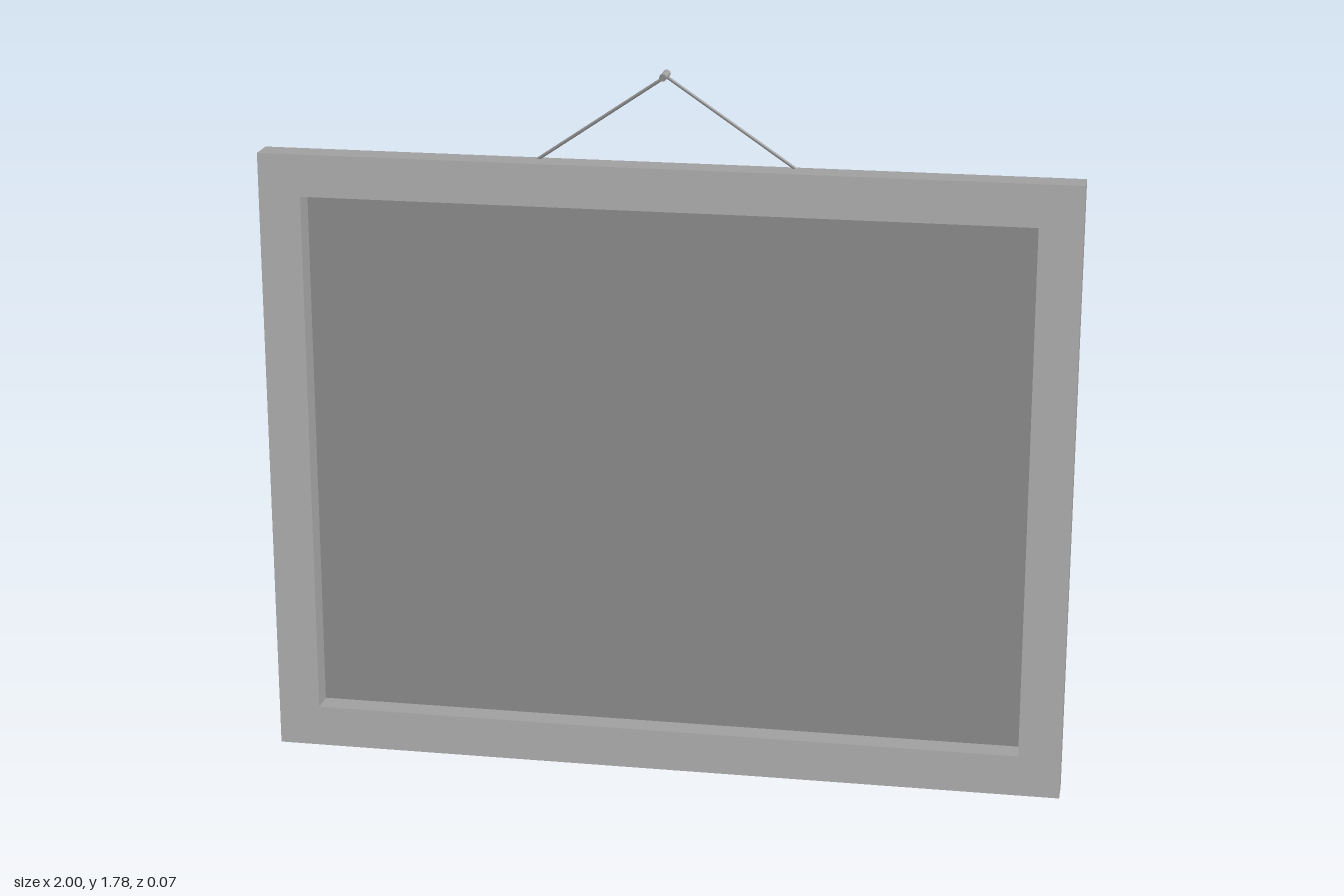
import * as THREE from 'three';

const W = 2, H = 1.555, BORDER = 0.105, HALF_DEPTH = 0.036;

// Rectangular ring, extruded from z0 to z1
function ring(z0, z1) {
  const rect = (T, inset) => {
    const x = W / 2 - inset, y0 = inset, y1 = H - inset;
    return new T().moveTo(-x, y0).lineTo(x, y0).lineTo(x, y1).lineTo(-x, y1).closePath();
  };
  const shape = rect(THREE.Shape, 0);
  shape.holes.push(rect(THREE.Path, BORDER));
  return new THREE.ExtrudeGeometry(shape, { depth: z1 - z0, bevelEnabled: false }).translate(0, 0, z0);
}

export function createModel() {
  const model = new THREE.Group();
  const grey = new THREE.MeshStandardMaterial({ color: 0xa0a0a0 });
  grey.name = 'grey';
  const lightGrey = new THREE.MeshStandardMaterial({ color: 0xc8c8c8 });
  lightGrey.name = 'light grey';

  const add = (name, geometry, material) => {
    const mesh = new THREE.Mesh(geometry, material);
    mesh.name = name;
    model.add(mesh);
    return mesh;
  };

  // Frame body with a lighter front face
  const lip = 0.002;
  add('frame', ring(-HALF_DEPTH, HALF_DEPTH - lip), grey);
  add('frameFront', ring(HALF_DEPTH - lip, HALF_DEPTH), [lightGrey, grey]);

  // Panel set close to the back of the opening
  add('panel', new THREE.BoxGeometry(W - 2 * BORDER, H - 2 * BORDER, 0.004), grey)
    .position.set(0, H / 2, -0.027);

  // Hanging wire, one strand on each side
  const top = new THREE.Vector3(0, 1.767, -0.023);
  for (const side of [1, -1]) {
    const foot = new THREE.Vector3(side * 0.32, H - 0.005, -0.023);
    const dir = top.clone().sub(foot);
    const wire = add(side > 0 ? 'wireLeft' : 'wireRight',
      new THREE.CylinderGeometry(0.004, 0.004, dir.length(), 8), grey);
    wire.position.copy(foot).addScaledVector(dir, 0.5);
    wire.quaternion.setFromUnitVectors(new THREE.Vector3(0, 1, 0), dir.normalize());
  }

  // Nail holding the wire
  add('nail', new THREE.CylinderGeometry(0.009, 0.009, 0.058, 12).rotateX(Math.PI / 2), grey)
    .position.set(0, 1.772, -0.006);

  return model;
}
